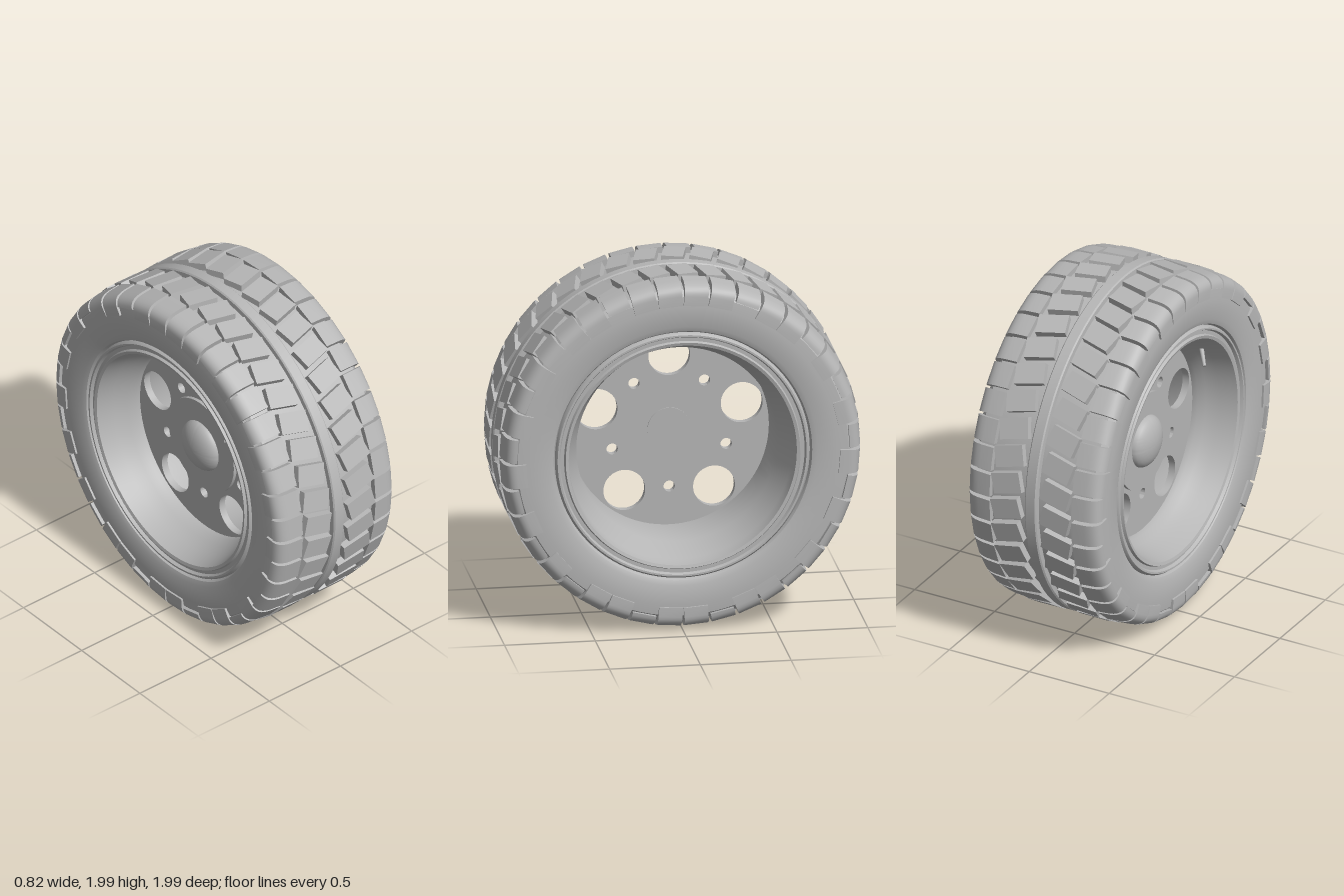
import * as THREE from 'three';
import { toCreasedNormals } from 'three/addons/utils/BufferGeometryUtils.js';

const grey = new THREE.MeshStandardMaterial({ color: 0xb6b6b6 });
grey.name = 'grey';

function addMesh(parent, geometry, name) {
  const mesh = new THREE.Mesh(geometry, grey);
  mesh.name = name;
  parent.add(mesh);
  return mesh;
}

// Ring turned around the x axis from [radius, x] points
function turned(points, crease = 0.6) {
  const pts = points.map(([r, x]) => new THREE.Vector2(r, x));
  const geometry = new THREE.LatheGeometry(pts, 96);
  geometry.rotateZ(-Math.PI / 2);
  return toCreasedNormals(geometry, crease);
}

// Closed profile that is the same on both sides of x = 0
function symmetric(half) {
  const profile = [...half, ...half.map(([r, x]) => [r, -x]).reverse()];
  return [...profile, profile[0]];
}

// Shoulder block cross-section, wrapping from the tread onto the sidewall
function shoulderGeometry(side, innerRadius, width) {
  const s = new THREE.Shape();
  s.moveTo(side * 0.255, 0.94);
  s.lineTo(side * 0.255, 0.988);
  s.lineTo(side * 0.33, 0.982);
  s.bezierCurveTo(side * 0.39, 0.975, side * 0.408, 0.95, side * 0.41, 0.915);
  s.lineTo(side * 0.41, innerRadius);
  s.lineTo(side * 0.385, innerRadius);
  s.lineTo(side * 0.37, 0.92);
  s.closePath();
  const geometry = new THREE.ExtrudeGeometry(s, { depth: width, bevelEnabled: false, curveSegments: 6 });
  geometry.translate(0, 0, -width / 2);
  return toCreasedNormals(geometry, 0.5);
}

export function createModel() {
  const model = new THREE.Group();
  model.name = 'wheel';
  const wheel = new THREE.Group();
  wheel.name = 'wheelAssembly';
  wheel.position.y = 1;
  model.add(wheel);

  // Tyre carcass and central rib
  addMesh(wheel, turned(symmetric([
    [0.7, -0.36], [0.712, -0.385], [0.74, -0.396], [0.85, -0.4], [0.91, -0.394],
    [0.945, -0.36], [0.955, -0.3], [0.958, -0.1],
  ])), 'tyre');
  addMesh(wheel, turned(symmetric([[0.95, -0.038], [0.985, -0.035], [0.992, -0.028]])), 'centreRib');

  // Tread: slanted inner blocks and wrapped shoulder blocks
  const count = 40;
  const step = (2 * Math.PI) / count;
  const longBlocks = new Set([0, 2, 3, 5, 7, 9, 11, 13, 15, 16, 18, 19]);
  for (const side of [-1, 1]) {
    const tread = new THREE.Group();
    tread.name = side > 0 ? 'leftTread' : 'rightTread';
    wheel.add(tread);
    const inner = new THREE.BoxGeometry(0.172, 0.05, 0.118);
    inner.rotateY(side * 0.25);
    inner.translate(side * 0.152, 0.97, 0);
    const longShoulder = shoulderGeometry(side, 0.862, 0.132);
    const shortShoulder = shoulderGeometry(side, 0.915, 0.132);
    for (let i = 0; i < count; i++) {
      const angle = Math.PI + (i + 0.5) * step;
      const fromBottom = Math.min(i, count - 1 - i);
      addMesh(tread, inner, 'treadBlock').rotation.x = angle + step * 0.3;
      const shoulder = longBlocks.has(fromBottom) ? longShoulder : shortShoulder;
      addMesh(tread, shoulder, 'shoulderBlock').rotation.x = angle;
    }
  }

  // Rim barrel with stepped lips
  addMesh(wheel, turned([
    [0.704, -0.35], [0.704, 0.35], [0.7, 0.375], [0.69, 0.388], [0.68, 0.388], [0.672, 0.37],
    [0.652, 0.37], [0.645, 0.385], [0.628, 0.38], [0.618, 0.3], [0.555, 0.18], [0.548, -0.13],
    [0.555, -0.17], [0.575, -0.21], [0.6, -0.28], [0.628, -0.38], [0.645, -0.385],
    [0.652, -0.37], [0.672, -0.37], [0.68, -0.388], [0.69, -0.388], [0.7, -0.375], [0.704, -0.35],
  ]), 'rim');

  // Wheel disc with five large and five small holes
  const disc = new THREE.Shape().absarc(0, 0, 0.56, 0, 2 * Math.PI);
  for (let i = 0; i < 5; i++) {
    for (const [distance, radius, offset] of [[0.42, 0.115, 0], [0.33, 0.031, 0.5]]) {
      const a = Math.PI / 2 + ((i + offset) * 2 * Math.PI) / 5;
      disc.holes.push(new THREE.Path().absarc(
        distance * Math.cos(a), distance * Math.sin(a), radius, 0, 2 * Math.PI, true));
    }
  }
  const discGeometry = new THREE.ExtrudeGeometry(disc, { depth: 0.04, bevelEnabled: false, curveSegments: 32 });
  discGeometry.rotateY(Math.PI / 2);
  discGeometry.translate(-0.14, 0, 0);
  addMesh(wheel, toCreasedNormals(discGeometry, 0.5), 'wheelDisc');

  // Hub plate, domed cap and inner boss
  const plate = new THREE.CylinderGeometry(0.28, 0.28, 0.03, 64).rotateZ(-Math.PI / 2);
  addMesh(wheel, plate, 'hubPlate').position.x = -0.145;
  const cap = [];
  for (let i = 0; i <= 8; i++) {
    const a = (i / 8) * (Math.PI / 2);
    cap.push([0.15 * Math.sin(a), -0.155 - 0.075 * Math.cos(a)]);
  }
  addMesh(wheel, turned(cap, 1), 'hubCap');
  const boss = new THREE.CylinderGeometry(0.12, 0.12, 0.02, 48).rotateZ(-Math.PI / 2);
  addMesh(wheel, boss, 'innerBoss').position.x = -0.104;

  // Valve stem leaning out of the barrel
  const base = new THREE.Vector3(-0.24, 0.39, 0.47);
  const tip = new THREE.Vector3(-0.31, 0.32, 0.385);
  const valve = addMesh(wheel, new THREE.CylinderGeometry(0.009, 0.014, base.distanceTo(tip), 12), 'valveStem');
  valve.position.copy(base).add(tip).multiplyScalar(0.5);
  valve.quaternion.setFromUnitVectors(new THREE.Vector3(0, 1, 0), tip.clone().sub(base).normalize());

  return model;
}
